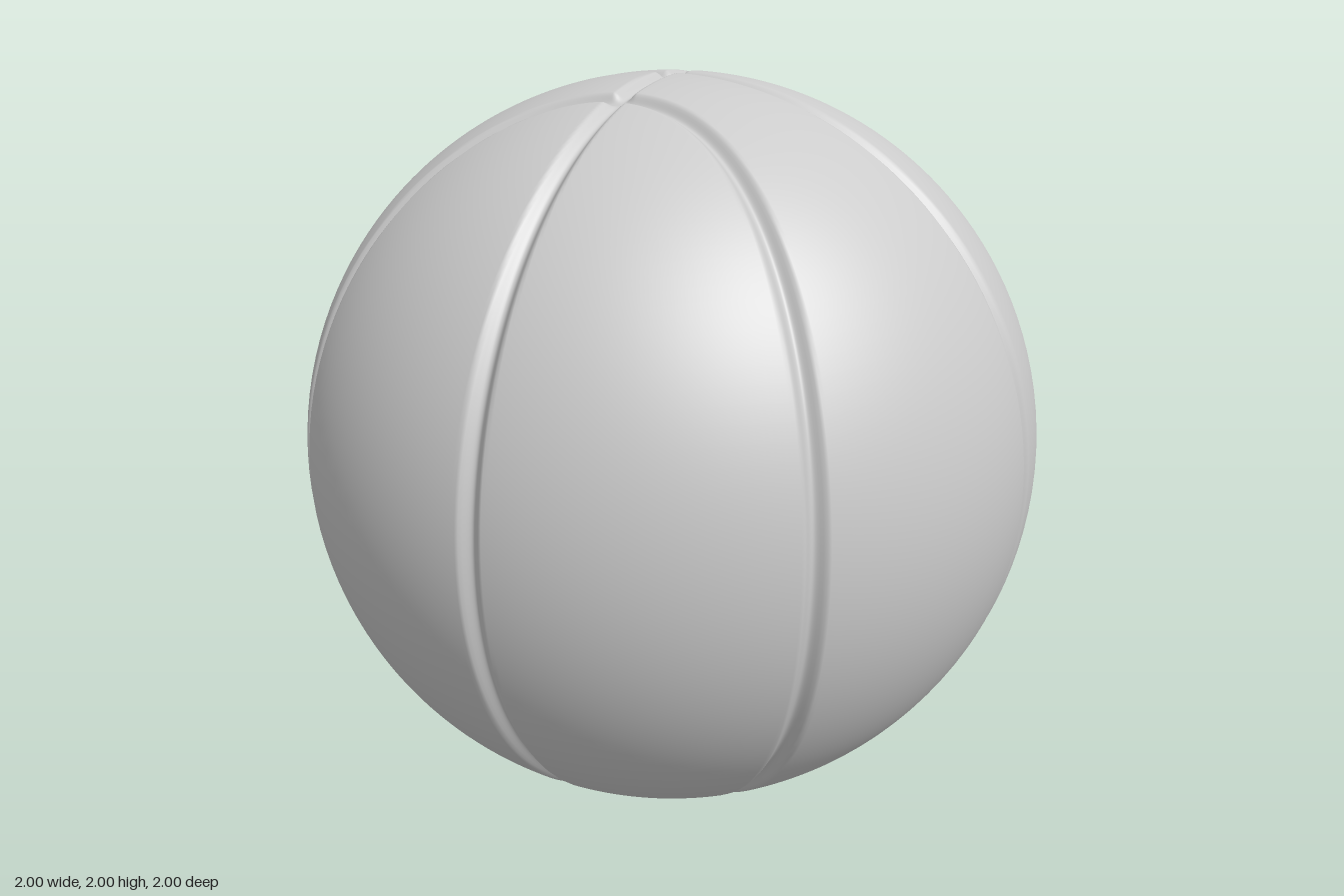
import * as THREE from 'three';
import { mergeGeometries } from 'three/addons/utils/BufferGeometryUtils.js';

const GROOVE_HALF_WIDTH = 0.034, GROOVE_DEPTH = 0.022;
const EDGE = Math.SQRT1_2;      // where the curved seam meets the equator
const TOP = 0.28;               // its distance from the middle plane at the top
const ROWS = 60, COLS = 44;

// Curved seam: z as a function of x (between a parabola and a hyperbola), and its slope
const k = 0.5 - TOP * TOP;
function seam(x) {
  const h = Math.sqrt(TOP * TOP + 2 * k * x * x);
  const c = 2 * (EDGE - TOP);
  return { z: (h + TOP + c * x * x) / 2, slope: k * x / h + c * x };
}

// Rounded groove cross-section: 1 on the seam line, 0 outside it
const profile = (d) =>
  d < GROOVE_HALF_WIDTH ? 0.5 + 0.5 * Math.cos(Math.PI * d / GROOVE_HALF_WIDTH) : 0;

// Ball radius in the direction p, with the two straight seams and the curved pair pressed in
function radius(p) {
  const x = Math.abs(p.x), z = Math.abs(p.z);
  const { z: sz, slope } = seam(x);
  const f = z - sz;
  const radial = z - slope * x;
  const grad = Math.sqrt(Math.max(slope * slope + 1 - radial * radial, 0.05));
  const keep = (1 - profile(x)) * (1 - profile(z)) * (1 - profile(Math.abs(f) / grad));
  return 1 - GROOVE_DEPTH * (1 - keep);
}

// Surface normal from the change of radius around p
function surfaceNormal(p) {
  const e = 0.0015;
  const g = new THREE.Vector3();
  for (const axis of ['x', 'y', 'z']) {
    const a = p.clone(), b = p.clone();
    a[axis] += e;
    b[axis] -= e;
    g[axis] = (radius(a.normalize()) - radius(b.normalize())) / (2 * e);
  }
  g.addScaledVector(p, -g.dot(p));
  return p.clone().multiplyScalar(radius(p)).sub(g).normalize();
}

function slerp(a, b, t) {
  const angle = a.angleTo(b);
  if (angle < 1e-6) return a.clone();
  return a.clone().multiplyScalar(Math.sin((1 - t) * angle))
    .addScaledVector(b, Math.sin(t * angle)).normalize();
}

// One eighth of the ball; rows run from the top to the equator and
// columns follow the seams, packed closely beside each groove
function octant(sx, sy, sz) {
  const pos = [], nor = [], index = [];
  const mirror = new THREE.Vector3(sx, sy, sz);
  const start = Math.asin(TOP);
  for (let i = 0; i <= ROWS; i++) {
    const t = i / ROWS, v = t * (0.15 + 0.85 * t), q = v * Math.PI / 2;
    const x = EDGE * Math.sin(q), z = seam(x).z;
    const front = start + (Math.PI / 2 - start) * v;
    const a = new THREE.Vector3(0, Math.cos(front), Math.sin(front));
    const y = i === ROWS ? 0 : Math.sqrt(Math.max(0, 1 - x * x - z * z));
    const c = new THREE.Vector3(x, y, z).normalize();
    const b = new THREE.Vector3(Math.sin(q), Math.cos(q), 0);
    for (let j = 0; j <= 2 * COLS; j++) {
      const u = (j <= COLS ? j : j - COLS) / COLS;
      const s = u - 0.85 / (2 * Math.PI) * Math.sin(2 * Math.PI * u);
      const p = (j <= COLS ? slerp(a, c, s) : slerp(c, b, s)).multiply(mirror);
      nor.push(...surfaceNormal(p).toArray());
      pos.push(...p.multiplyScalar(radius(p)).toArray());
    }
  }
  const w = 2 * COLS + 1, flip = sx * sy * sz < 0;
  for (let i = 0; i < ROWS; i++) {
    for (let j = 0; j < w - 1; j++) {
      const a = i * w + j, b = a + w, c = b + 1, d = a + 1;
      if (flip) index.push(a, c, b, a, d, c);
      else index.push(a, b, c, a, c, d);
    }
  }
  const geo = new THREE.BufferGeometry();
  geo.setAttribute('position', new THREE.Float32BufferAttribute(pos, 3));
  geo.setAttribute('normal', new THREE.Float32BufferAttribute(nor, 3));
  geo.setIndex(index);
  return geo;
}

export function createModel() {
  const group = new THREE.Group();
  group.name = 'groovedBall';

  // Mirror the octant into a whole ball
  const parts = [];
  for (const sx of [1, -1])
    for (const sy of [1, -1])
      for (const sz of [1, -1]) parts.push(octant(sx, sy, sz));

  const ball = new THREE.Mesh(
    mergeGeometries(parts),
    new THREE.MeshStandardMaterial({ color: 0xcccccc })
  );
  ball.name = 'ball';
  ball.position.y = 1;
  group.add(ball);
  return group;
}
